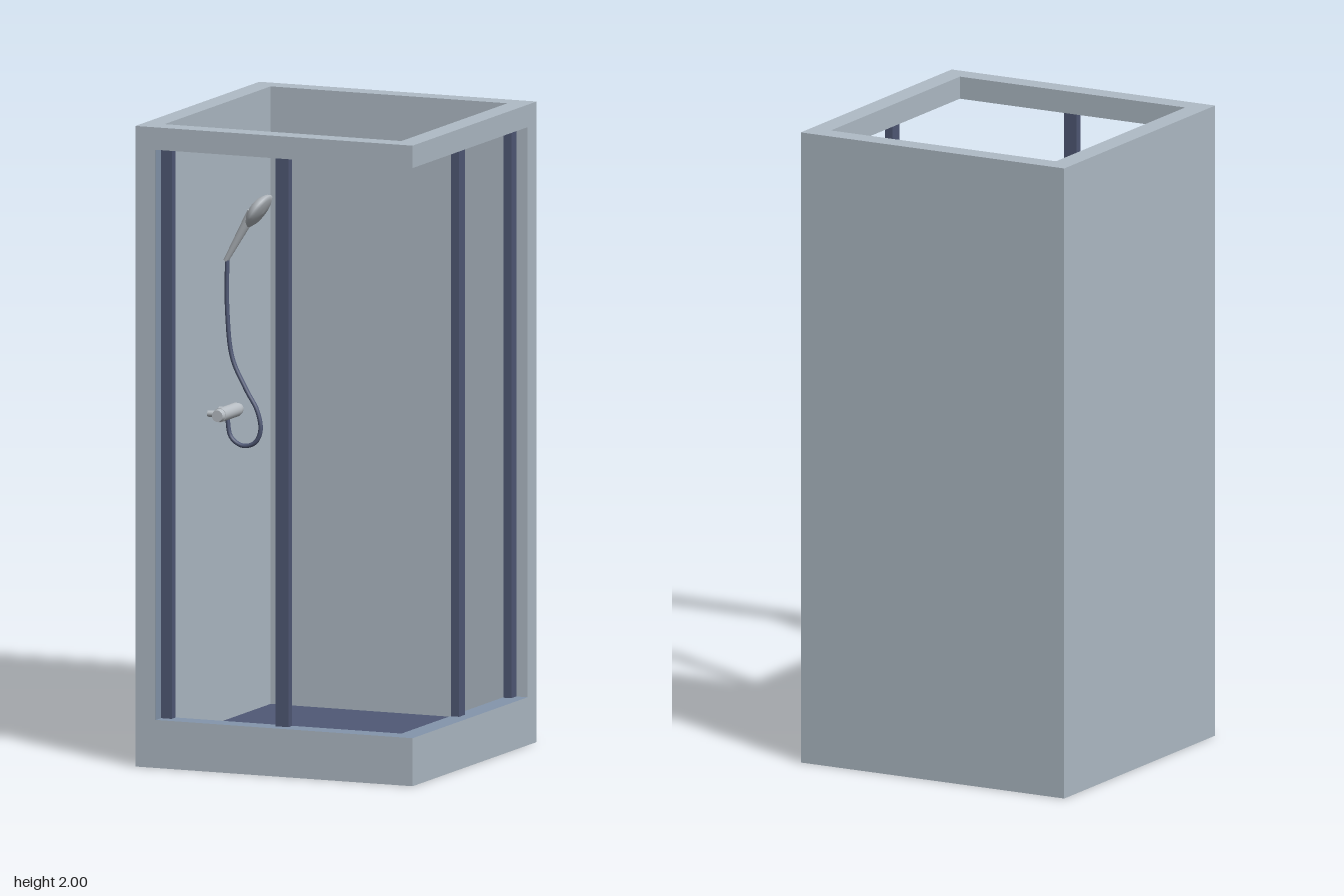
import * as THREE from 'three';

const mat = (name, color, side = THREE.FrontSide) => {
  const m = new THREE.MeshStandardMaterial({ color, side });
  m.name = name;
  return m;
};

export function createModel() {
  const group = new THREE.Group();
  const panel = mat('pale panel', 0xb0bcc7, THREE.DoubleSide);
  const ledgeBlue = mat('ledge blue', 0x8496ac, THREE.DoubleSide);
  const navy = mat('navy', 0x505976, THREE.DoubleSide);
  const chrome = mat('chrome', 0xb9bfc5);

  const OUT = 0.468, IN = 0.4, BASE = 0.15, TOP = 1.93;
  const V = (x, y, z) => new THREE.Vector3(x, y, z);

  const add = (name, geometry, material) => {
    const mesh = new THREE.Mesh(geometry, material);
    mesh.name = name;
    group.add(mesh);
    return mesh;
  };
  // box given by its low and high corners
  const box = (name, material, x0, x1, y0, y1, z0, z1) =>
    add(name, new THREE.BoxGeometry(x1 - x0, y1 - y0, z1 - z0), material)
      .position.set((x0 + x1) / 2, (y0 + y1) / 2, (z0 + z1) / 2);
  // square ring swept from a [half width, height] profile
  const squareRing = (name, profile, material) => {
    const pts = profile.map(([w, y]) => new THREE.Vector2(w * Math.SQRT2, y));
    const g = new THREE.LatheGeometry(pts, 4, Math.PI / 4).toNonIndexed();
    g.computeVertexNormals();
    return add(name, g, material);
  };
  // tapered round rod between two points
  const rod = (name, a, b, ra, rb) => {
    const dir = b.clone().sub(a);
    const m = add(name, new THREE.CylinderGeometry(rb, ra, dir.length(), 24), chrome);
    m.position.copy(a).add(b).multiplyScalar(0.5);
    m.quaternion.setFromUnitVectors(V(0, 1, 0), dir.normalize());
  };

  // Tray: hollow rim, open underneath, with a sunken floor
  squareRing('trayOuterRim', [[OUT, 0], [OUT, BASE]], panel);
  squareRing('trayLedge', [[OUT, BASE], [IN, BASE]], ledgeBlue);
  squareRing('trayInnerRim', [[IN, BASE], [IN, 0.072]], panel);
  add('trayFloor', new THREE.PlaneGeometry(2 * IN, 2 * IN).rotateX(-Math.PI / 2), navy).position.y = 0.072;

  // Two solid walls and the square top frame
  box('backWall', panel, -OUT, OUT, BASE, TOP, -OUT, -IN);
  box('sideWall', panel, -OUT, -IN, BASE, TOP, -IN, OUT);
  box('sideWallReveal', ledgeBlue, -IN, -IN + 0.002, BASE, TOP, 0.43, OUT - 0.001);
  squareRing('topFrame', [[IN, TOP], [OUT, TOP], [OUT, 2], [IN, 2], [IN, TOP]], panel);

  // Upright rails on the two open sides
  for (const [c, w] of [[-0.381, 0.038], [0.01, 0.044]]) {
    box('frontRail', navy, c - w / 2, c + w / 2, BASE, TOP, 0.403, 0.43);
    box('sideRail', navy, 0.403, 0.43, BASE, TOP, c - w / 2, c + w / 2);
  }

  // Mixer tap: body, end knobs and wall mounts
  const vx = -0.353, vy = 1.048;
  rod('tapBody', V(vx, vy, -0.034), V(vx, vy, 0.09), 0.022, 0.022);
  rod('tapKnob', V(vx, vy, -0.052), V(vx, vy, -0.032), 0.018, 0.021);
  rod('tapKnob', V(vx, vy, 0.088), V(vx, vy, 0.108), 0.021, 0.018);
  for (const z of [-0.013, 0.07]) rod('tapMount', V(-IN, vy, z), V(vx, vy, z), 0.01, 0.01);

  // Hose
  const path = [[-0.354, 1.53], [-0.353, 1.36], [-0.336, 1.22], [-0.29, 1.125], [-0.252, 1.06],
    [-0.241, 1.0], [-0.26, 0.96], [-0.3, 0.948], [-0.34, 0.972], [-0.354, 1.04]];
  const curve = new THREE.CatmullRomCurve3(path.map(([x, y]) => V(x, y, 0.031)));
  add('hose', new THREE.TubeGeometry(curve, 80, 0.007, 10), navy);

  // Hand shower: tapered handle and tilted domed head
  rod('showerHandle', V(-0.358, 1.522, 0.031), V(-0.268, 1.68, 0.031), 0.008, 0.017);
  const headProfile = [[0, -0.014], [0.025, -0.012], [0.048, -0.007], [0.061, 0], [0.056, 0.01],
    [0.038, 0.022], [0.018, 0.028], [0, 0.03]].map(([r, y]) => new THREE.Vector2(r, y));
  const head = add('showerHead', new THREE.LatheGeometry(headProfile, 32), chrome);
  head.position.set(-0.244, 1.684, 0.031);
  head.quaternion.setFromUnitVectors(V(0, 1, 0), V(-0.84, 0.54, 0).normalize());

  return group;
}
